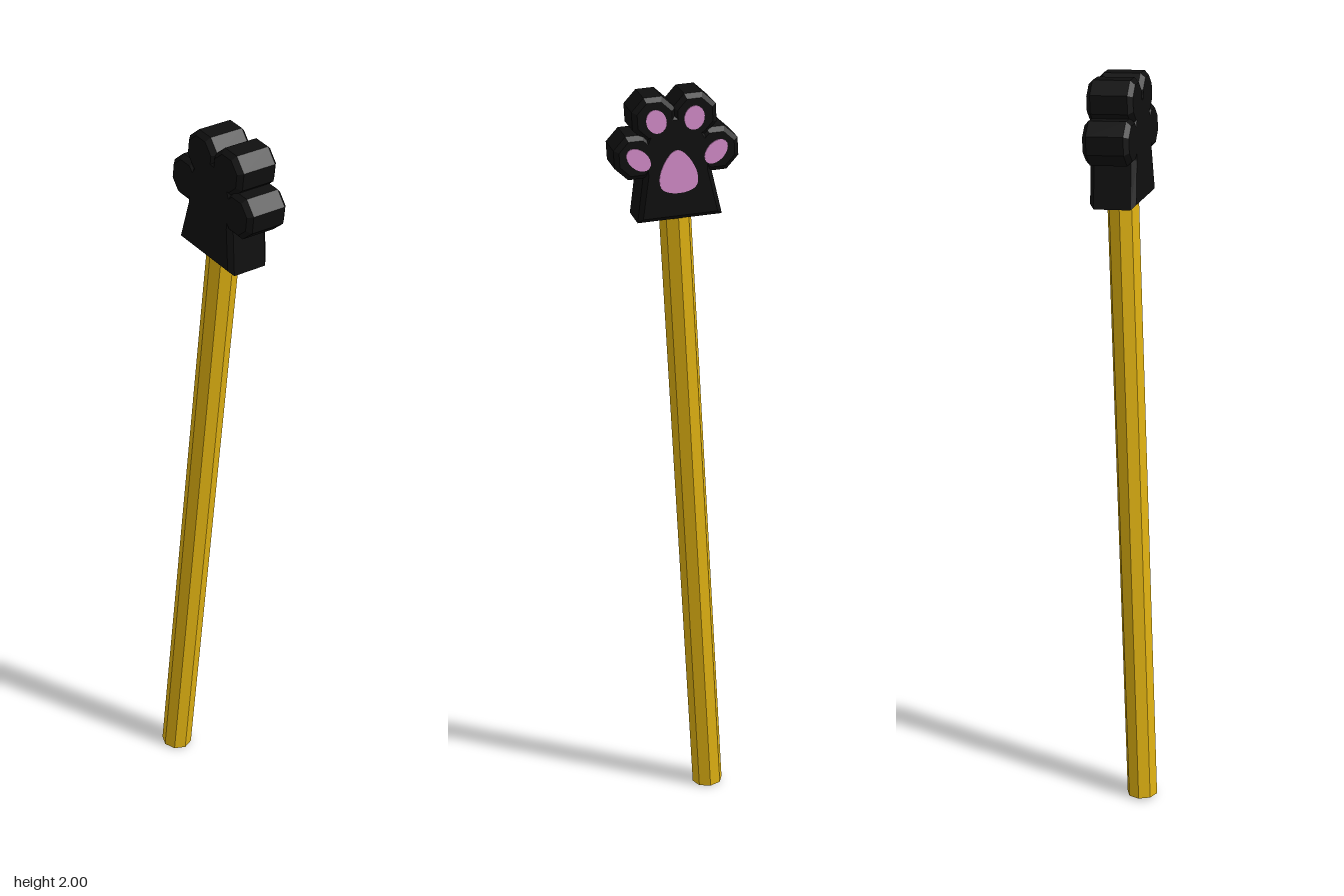
import * as THREE from 'three';

const material = (name, color) => {
  const m = new THREE.MeshStandardMaterial({ color });
  m.name = name;
  return m;
};

const HALF = 0.06; // half thickness of the paw
const BEVEL = 0.012;

export function createModel() {
  const yellow = material('yellow', 0xdfb112);
  const black = material('black', 0x0f0f0f);
  const pink = material('pink', 0xdd92d2);

  const model = new THREE.Group();
  model.name = 'pawStick';

  // everything is built upright, then the whole stick leans
  const stick = new THREE.Group();
  stick.name = 'stick';
  stick.position.set(-0.058, 0.0035, -0.12);
  stick.quaternion.setFromUnitVectors(
    new THREE.Vector3(0, 1, 0),
    new THREE.Vector3(0.049, 1, 0.068).normalize()
  );
  model.add(stick);

  const add = (parent, name, geometry, mat) => {
    const mesh = new THREE.Mesh(geometry, mat);
    mesh.name = name;
    parent.add(mesh);
    return mesh;
  };

  // eight-sided pole
  const poleGeometry = new THREE.CylinderGeometry(0.042, 0.042, 1.72, 8).toNonIndexed();
  poleGeometry.computeVertexNormals();
  add(stick, 'pole', poleGeometry, yellow).position.y = 0.86;

  // paw outlines lie in the xy plane; the paw is turned so that they face +x
  const paw = new THREE.Group();
  paw.name = 'paw';
  paw.position.z = -0.002;
  paw.rotation.y = Math.PI / 2;
  stick.add(paw);

  // bevelled slab through the full thickness of the paw
  const slab = (points) => new THREE.ExtrudeGeometry(
    new THREE.Shape(points.map(([x, y]) => new THREE.Vector2(x, y))),
    {
      depth: 2 * (HALF - BEVEL), bevelEnabled: true, bevelSegments: 1,
      bevelThickness: BEVEL, bevelSize: BEVEL, bevelOffset: -BEVEL,
    }
  ).translate(0, 0, BEVEL - HALF);

  add(paw, 'palm', slab([
    [-0.11, 1.678], [0.11, 1.678], [0.088, 1.8], [0.088, 1.88],
    [0.05, 1.95], [-0.05, 1.95], [-0.088, 1.88], [-0.088, 1.8],
  ]), black);

  const octagon = [];
  for (let i = 0; i < 8; i++) {
    const a = (i + 0.5) * Math.PI / 4;
    octagon.push([0.061 * Math.cos(a), 0.061 * Math.sin(a)]);
  }
  const toeGeometry = slab(octagon);

  // thin pad plate on the face of the paw
  const plate = (shape) => new THREE.ExtrudeGeometry(shape, {
    depth: 0.004, bevelEnabled: false, curveSegments: 10,
  }).translate(0, 0, HALF - 0.001);

  const oval = (rx, ry) => plate(new THREE.Shape().absellipse(0, 0, rx, ry, 0, Math.PI * 2));

  // two inner and two outer toes, each with its pad
  const toes = [
    { name: 'innerToe', x: 0.052, y: 1.943, padX: 0.049, padY: 1.939, pad: oval(0.026, 0.031), turn: -0.25 },
    { name: 'outerToe', x: 0.104, y: 1.85, padX: 0.1, padY: 1.846, pad: oval(0.024, 0.036), turn: -0.8 },
  ];
  for (const side of [-1, 1]) {
    for (const t of toes) {
      add(paw, t.name, toeGeometry, black).position.set(side * t.x, t.y, 0);
      const pad = add(paw, t.name + 'Pad', t.pad, pink);
      pad.position.set(side * t.padX, t.padY, 0);
      pad.rotation.z = side * t.turn;
    }
  }

  // large rounded palm pad
  const outline = new THREE.CatmullRomCurve3([
    [0, 1.861], [0.022, 1.848], [0.048, 1.8], [0.046, 1.765], [0.022, 1.751],
    [-0.022, 1.751], [-0.046, 1.765], [-0.048, 1.8], [-0.022, 1.848],
  ].map(([x, y]) => new THREE.Vector3(x, y, 0)), true);
  const palmPad = new THREE.Shape(
    outline.getPoints(30).slice(0, -1).map((p) => new THREE.Vector2(p.x, p.y))
  );
  add(paw, 'palmPad', plate(palmPad), pink);

  return model;
}
